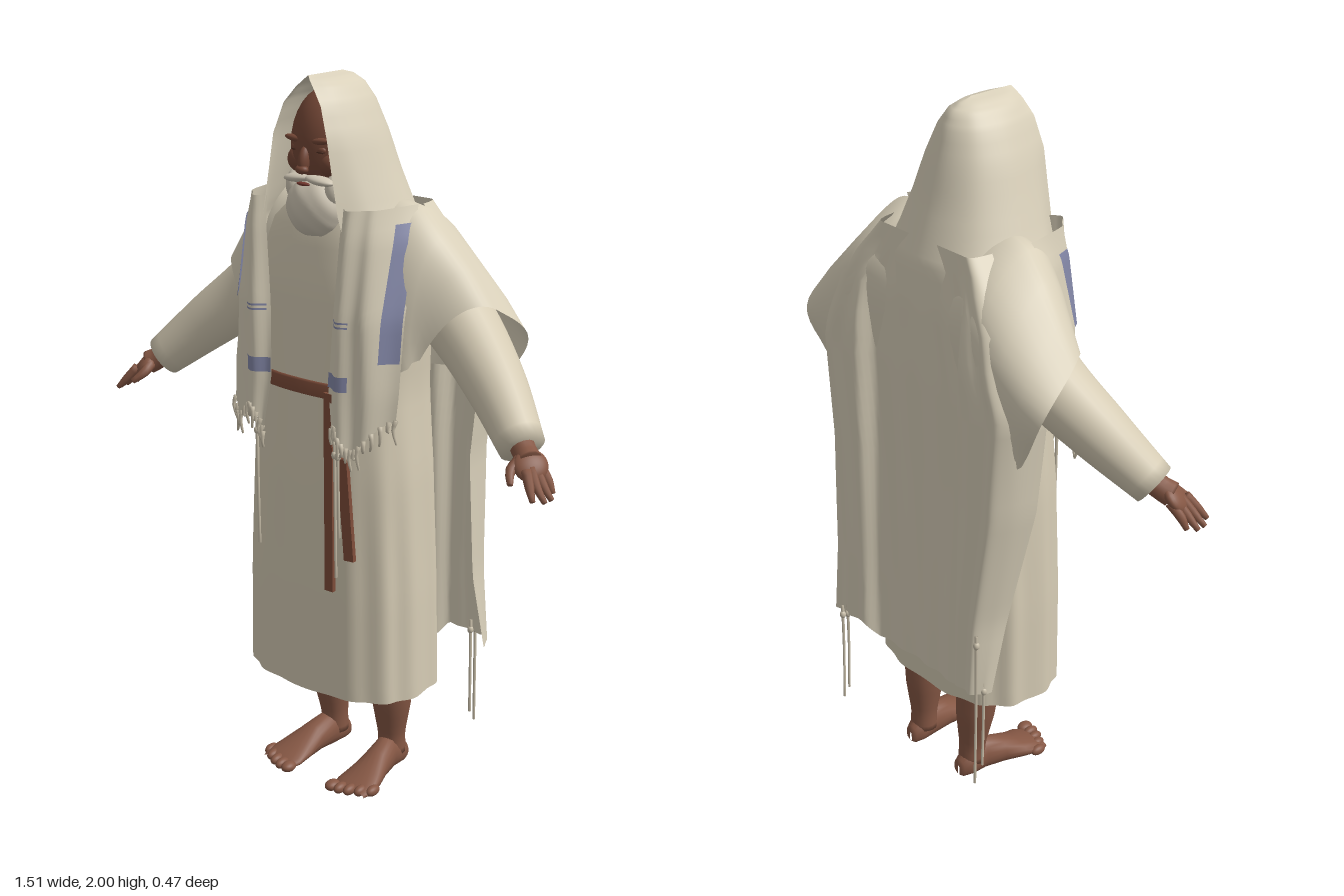
import * as THREE from 'three';

const V = (x, y, z) => new THREE.Vector3(x, y, z);
const mat = (name, color, side = THREE.FrontSide) => {
  const m = new THREE.MeshStandardMaterial({ color, side });
  m.name = name;
  return m;
};

// Surface through rows of points; closed rows wrap round
function loft(rows, closed = false) {
  const n = rows[0].length, idx = [];
  for (let i = 0; i < rows.length - 1; i++) {
    for (let j = 0; j < (closed ? n : n - 1); j++) {
      const k = (j + 1) % n, a = i * n + j, b = i * n + k;
      idx.push(a, b, a + n, b, b + n, a + n);
    }
  }
  const g = new THREE.BufferGeometry().setFromPoints(rows.flat());
  g.setIndex(idx);
  g.computeVertexNormals();
  return g;
}

// Rounded limb along a curve with a varying radius
function limb(pts, radii, sides = 10, steps = 10) {
  const c = new THREE.CatmullRomCurve3(pts), f = c.computeFrenetFrames(steps), rows = [];
  const ring = (i, k) => {
    const t = i / steps, q = t * (radii.length - 1), j = Math.min(Math.floor(q), radii.length - 2);
    const r = k * THREE.MathUtils.lerp(radii[j], radii[j + 1], q - j), p = c.getPoint(t);
    rows.push(Array.from({ length: sides }, (_, s) => {
      const a = s / sides * Math.PI * 2;
      return p.clone().addScaledVector(f.normals[i], r * Math.cos(a)).addScaledVector(f.binormals[i], r * Math.sin(a));
    }));
  };
  ring(0, 0.01);
  for (let i = 0; i <= steps; i++) ring(i, 1);
  ring(steps, 0.01);
  return loft(rows, true);
}

// Interpolates rows of numbers by their first entry
function sample(rows, y) {
  let i = 0;
  while (i < rows.length - 2 && (y - rows[i + 1][0]) * (y - rows[0][0]) > 0) i++;
  const t = THREE.MathUtils.clamp((y - rows[i][0]) / (rows[i + 1][0] - rows[i][0]), 0, 1);
  return rows[i].map((v, k) => THREE.MathUtils.lerp(v, rows[i + 1][k], t));
}
const range = (n, a, b) => Array.from({ length: n + 1 }, (_, i) => a + (b - a) * i / n);

// Profiles: robe [y, half width, front z, back z]
const ROBE = [[0.31, 0.28, 0.208, -0.155], [0.6, 0.275, 0.207, -0.15], [0.95, 0.26, 0.203, -0.148], [1.18, 0.24, 0.195, -0.148],
  [1.45, 0.25, 0.185, -0.14], [1.6, 0.21, 0.16, -0.13], [1.7, 0.1, 0.12, -0.1]];
// Hood [y, half width, back z, front z, half opening]
const HOOD = [[1.5, 0.235, -0.17, 0.18, 0.15], [1.6, 0.22, -0.162, 0.195, 0.14], [1.66, 0.192, -0.142, 0.2, 0.125],
  [1.75, 0.16, -0.112, 0.2, 0.108], [1.85, 0.127, -0.085, 0.2, 0.09], [1.93, 0.09, -0.06, 0.19, 0.062],
  [1.97, 0.06, -0.038, 0.18, 0.03], [1.99, 0.032, -0.008, 0.172, 0.01], [2, 0, 0.03, 0.165, 0]];
// Cape [y, left x, right x, side z, back z]
const CAPE = [[1.66, 0.19, 0.19, -0.07, -0.135], [1.5, 0.32, 0.32, -0.1, -0.16], [1.3, 0.385, 0.4, -0.07, -0.165],
  [1, 0.35, 0.368, -0.075, -0.165], [0.65, 0.345, 0.3, -0.11, -0.167], [0.43, 0.36, 0.285, -0.15, -0.168]];
// Shawl fronts [y, inner x, z, middle x, z, outer x, z]
const SHAWL = [[1.68, 0.13, 0.19, 0.2, 0.165, 0.24, 0.01], [1.6, 0.125, 0.2, 0.2, 0.185, 0.265, 0.05],
  [1.4, 0.108, 0.205, 0.19, 0.215, 0.282, 0.12], [1.2, 0.1, 0.212, 0.185, 0.218, 0.285, 0.15], [1.03, 0.125, 0.22, 0.18, 0.222, 0.275, 0.17]];

function robePoint(y, a, off = 0) {
  const [, w, f, b] = sample(ROBE, y), c = Math.cos(a), s = Math.sin(a);
  const fold = 1 + 0.018 * Math.sin(13 * a) * THREE.MathUtils.clamp((1.2 - y) * 2, 0, 1);
  const sq = (v) => Math.sign(v) * Math.abs(v) ** 0.78;
  return V((w * fold + off) * sq(c), y, (f + b) / 2 + ((f - b) / 2 * fold + off) * sq(s));
}
function shawlPoint(side, y, u, off = 0) {
  const [, x0, z0, x1, z1, x2, z2] = sample(SHAWL, y);
  const q = (a, b, c) => a * (1 - u) * (1 - 2 * u) + 4 * b * u * (1 - u) + c * u * (2 * u - 1);
  return V(side * (q(x0, x1, x2) + off * u), y, q(z0, z1, z2) + 0.007 * Math.sin(u * 15 + y * 3) + off);
}
// Cape: flat longer middle, raised overlapping layers at both sides, edges curling forward
function capePoint(y, t) {
  const [, l, r, zs, zb] = sample(CAPE, y), e = Math.abs(t), down = THREE.MathUtils.clamp((1.64 - y) * 4, 0, 1);
  const x = (t > 0 ? l : r) * Math.sin(t * Math.PI / 2), step = THREE.MathUtils.smoothstep(Math.abs(x), 0.165, 0.205);
  const fold = 0.004 * Math.sin(t * 30 + Math.sin(y * 3)) * down, low = (1.66 - y) / 1.23;
  const curl = THREE.MathUtils.smoothstep(e, 0.6, 1) ** 2;
  return V(x, y - 0.02 * e * low - 0.045 * (1 - step) * low ** 4, THREE.MathUtils.lerp(zb - step * 0.037 * down, zs, curl) + fold);
}

export function createModel() {
  const root = new THREE.Group();
  const D = THREE.DoubleSide;
  const robeCloth = mat('robe cloth', 0xd5cbb4, D), shawlCloth = mat('shawl cloth', 0xd9d0ba, D);
  const stripe = mat('blue stripe', 0x8488a8, D), fringeMat = mat('fringe', 0xc8bea9, D);
  const skin = mat('skin', 0x855744), face = mat('face skin', 0x744736), dark = mat('brow brown', 0x4c2c20);
  const lips = mat('lips', 0x74382f), leather = mat('belt leather', 0x7d4c39, D), hair = mat('beard', 0xcdc4b2);
  const add = (name, geo, m) => {
    const o = new THREE.Mesh(geo, m);
    o.name = name;
    root.add(o);
    return o;
  };
  const ball = (name, m, x, y, z, a, b, c) => {
    const o = add(name, new THREE.SphereGeometry(1, 24, 16), m);
    o.position.set(x, y, z);
    o.scale.set(a, b, c);
    return o;
  };

  // Robe and belt
  add('robe', loft(range(30, 0.31, 1.7).map(y => range(95, 0, Math.PI * 2 * 95 / 96).map(a => robePoint(y, -a))), true), robeCloth);
  add('belt', loft([[1.168, 0.004], [1.172, 0.012], [1.206, 0.012], [1.21, 0.004]].map(([y, o]) =>
    range(30, Math.PI * 0.82, Math.PI * 0.18).map(a => robePoint(y, a, o)))), leather);
  for (const [x0, y0, x1, y1, w] of [[0.098, 1.19, 0.1, 0.63, 0.028], [0.145, 1.02, 0.17, 0.735, 0.033]]) {
    const tail = add('beltTail', new THREE.BoxGeometry(w, y0 - y1, 0.012), leather);
    tail.position.set((x0 + x1) / 2, (y0 + y1) / 2, 0.205);
    tail.rotation.z = Math.atan2(x1 - x0, y0 - y1);
  }

  // Back cape
  add('cape', loft(range(30, 1.66, 0.43).map(y => range(120, -1, 1).map(t => capePoint(y, t)))), shawlCloth);

  // Hood
  const hoodRow = (y) => {
    const [, w, b, f, o] = sample(HOOD, y), m = b + (f - b) * 0.45;
    const half = [[o, f], [w * 0.9, m + (f - m) * 0.6], [w, m], [w * 0.72, b + (m - b) * 0.3]];
    const pts = [...half.map(([x, z]) => V(x, y, z)), V(0, y, b), ...half.reverse().map(([x, z]) => V(-x, y, z))];
    return new THREE.CatmullRomCurve3(pts).getPoints(48);
  };
  const hoodYs = HOOD.slice(0, -1).flatMap((r, i) => range(3, r[0], HOOD[i + 1][0]).slice(0, 3)).concat(2);
  add('hood', loft(hoodYs.map(hoodRow)), shawlCloth);

  // Head and beard
  ball('head', face, 0, 1.82, 0.085, 0.098, 0.145, 0.1);
  ball('nose', face, 0, 1.79, 0.182, 0.015, 0.036, 0.02).rotation.x = -0.25;
  ball('noseTip', face, 0, 1.765, 0.193, 0.019, 0.012, 0.015);
  for (const s of [1, -1]) {
    ball('cheek', face, s * 0.05, 1.78, 0.14, 0.036, 0.035, 0.032);
    ball('eyelid', face, s * 0.038, 1.815, 0.166, 0.02, 0.012, 0.01);
    ball('eyeLine', dark, s * 0.038, 1.811, 0.172, 0.016, 0.003, 0.005);
    ball('brow', face, s * 0.038, 1.838, 0.17, 0.038, 0.009, 0.012).rotation.z = s * 0.08;
    ball('moustache', hair, s * 0.036, 1.737, 0.166, 0.046, 0.012, 0.024).rotation.z = -s * 0.1;
    ball('sideBeard', hair, s * 0.066, 1.71, 0.125, 0.03, 0.05, 0.045);
  }
  ball('mouth', lips, 0, 1.727, 0.188, 0.022, 0.005, 0.008);
  const beard = new THREE.SphereGeometry(1, 40, 28), bp = beard.attributes.position;
  for (let i = 0; i < bp.count; i++) {
    const p = V(0, 0, 0).fromBufferAttribute(bp, i);
    p.multiplyScalar(1 + 0.02 * Math.sin(p.x * 9 + p.y * 3) * Math.sin(p.y * 6 + p.x * 2));
    bp.setXYZ(i, Math.sign(p.x) * Math.abs(p.x) ** 0.85 * 0.086, p.y * 0.08 + 1.66, p.z * 0.065 + 0.135);
  }
  beard.computeVertexNormals();
  add('beard', beard, hair);

  for (const s of [1, -1]) {
    const P = (x, y, z) => V(s * x, y, z);

    // Shoulder drape: arches over the arm, tucked under the cape behind
    const arches = [[P(0.2, 1.3, 0.13), P(0.08, 1.66, 0), P(0.12, 1.2, -0.14)], [P(0.22, 1.25, 0.14), P(0.17, 1.685, 0), P(0.2, 1.2, -0.17)],
      [P(0.27, 1.26, 0.125), P(0.25, 1.665, -0.02), P(0.27, 1.15, -0.185)], [P(0.285, 1.27, 0.11), P(0.32, 1.59, -0.03), P(0.32, 1.12, -0.175)],
      [P(0.29, 1.285, 0.1), P(0.39, 1.51, -0.04), P(0.355, 1.12, -0.155)], [P(0.3, 1.29, 0.08), P(0.455, 1.425, -0.04), P(0.375, 1.15, -0.135)]];
    add('shoulderDrape', loft(arches.map(([f, t, b], i) => range(28, 0, Math.PI).map(a => {
      const c = f.clone().add(b).multiplyScalar(0.5), back = a > Math.PI / 2 ? Math.sin(a * 2) ** 2 : 0;
      return c.clone().addScaledVector(f.clone().sub(b), Math.cos(a) / 2).addScaledVector(t.clone().sub(c), Math.sin(a) ** 0.8)
        .add(P(back * 0.004 * i, 0, back * -0.045));
    }))), shawlCloth);

    // Sleeve, hand and fingers
    add('sleeve', limb([P(0.24, 1.46, -0.04), P(0.36, 1.36, -0.03), P(0.5, 1.245, 0.02), P(0.63, 1.127, 0.085)], [0.1, 0.096, 0.08, 0.06], 24, 16), robeCloth);
    add('wrist', limb([P(0.6, 1.155, 0.07), P(0.645, 1.12, 0.095), P(0.67, 1.105, 0.11)], [0.034, 0.032, 0.034], 12), skin);
    const palm = ball('palm', skin, s * 0.677, 1.098, 0.115, 0.044, 0.021, 0.046);
    palm.rotation.set(0.25, -s * 0.4, -s * 0.75);
    for (let i = 0; i < 4; i++) {
      const z = 0.088 + i * 0.019, tip = [0.735, 0.75, 0.748, 0.73][i];
      add('finger', limb([P(0.685, 1.095, z), P(0.718 - i * 0.003, 1.062, z + 0.008 + i * 0.004), P(tip, 1.025 + Math.abs(i - 1.5) * 0.006, z + 0.012 + i * 0.008)], [0.014, 0.012, 0.007], 8, 6), skin);
    }
    add('thumb', limb([P(0.65, 1.11, 0.12), P(0.645, 1.09, 0.155), P(0.665, 1.065, 0.185)], [0.017, 0.014, 0.008], 8, 6), skin);

    // Shawl front with stripes and fringe
    const hem = (u) => 1.1 + 0.035 * Math.sin(u * 7 + s) - 0.035 * (1 - u);
    add('shawlFront', loft(range(24, 0, 1).map(v => range(24, 0, 1).map(u => shawlPoint(s, 1.68 + (hem(u) - 1.68) * v, u)))), shawlCloth);
    const bands = [[0, 0.42, 1.25, 1.21], [0.05, 0.4, 1.384, 1.379], [0.05, 0.4, 1.396, 1.391],
      s > 0 ? [0.79, 0.98, 1.64, 1.29] : [0.64, 0.77, 1.62, 1.4]];
    for (const [u0, u1, y0, y1] of bands) {
      add('shawlStripe', loft(range(14, y0, y1).map(y => range(8, u0, u1).map(u => shawlPoint(s, y, u, 0.004)))), stripe);
    }
    for (let i = 0; i <= 14; i++) {
      const u = i / 14, p = shawlPoint(s, hem(u) + 0.005, u), d = 0.006 * Math.sin(i * 5.3);
      add('fringe', limb([p, p.clone().add(V(d, -0.025, 0.004)), p.clone().add(V(-d / 2, -0.045 - 0.02 * Math.sin(i * 3.7), 0))], [0.007, 0.005, 0.003], 6, 4), fringeMat);
    }

    // Leg, foot and toes
    add('leg', limb([P(0.115, 0.42, -0.04), P(0.115, 0.3, -0.045), P(0.112, 0.2, -0.052), P(0.108, 0.1, -0.058), P(0.108, 0.04, -0.06)], [0.066, 0.064, 0.056, 0.039, 0.04], 18, 14), skin);
    const foot = [[-0.112, 0.108, 0.004, 0.035], [-0.108, 0.108, 0.024, 0.055], [-0.08, 0.11, 0.036, 0.075], [-0.03, 0.112, 0.038, 0.1],
      [0.03, 0.122, 0.044, 0.08], [0.09, 0.13, 0.058, 0.052], [0.14, 0.134, 0.065, 0.034], [0.168, 0.134, 0.054, 0.022]];
    add('foot', loft(foot.map(([z, x, w, h]) => range(19, 0, Math.PI * 1.9).map(a =>
      V(s * x + w * Math.cos(a), Math.max(0.004, h * (0.45 + 0.55 * Math.sin(a))), z))), true), skin);
    for (let i = 0; i < 5; i++) {
      ball('toe', skin, s * (0.083 + i * 0.027), 0.017, 0.178 - i * i * 0.003, i ? 0.0145 : 0.019, 0.015, 0.025);
    }
  }

  // Long knotted cords at the cape corners and shawl ends
  const cords = [[-0.285, 0.62, 0.13, -0.205], [-0.277, 0.45, 0.17, -0.17], [0.275, 0.45, 0.16, -0.205], [0.28, 0.45, 0.13, -0.22],
    [-0.145, 1.07, 0.71, 0.22], [0.13, 1.06, 0.68, 0.22], [0.145, 1.06, 0.8, 0.225]];
  for (const [x, y0, y1, z] of cords) {
    add('cord', limb([V(x, y0, z), V(x + 0.004, (y0 + y1) / 2, z + 0.003), V(x, y1, z - 0.004)], [0.005, 0.004, 0.004], 6, 8), fringeMat);
    ball('cordKnot', fringeMat, x, y0 - 0.03, z, 0.009, 0.012, 0.009);
  }
  return root;
}
